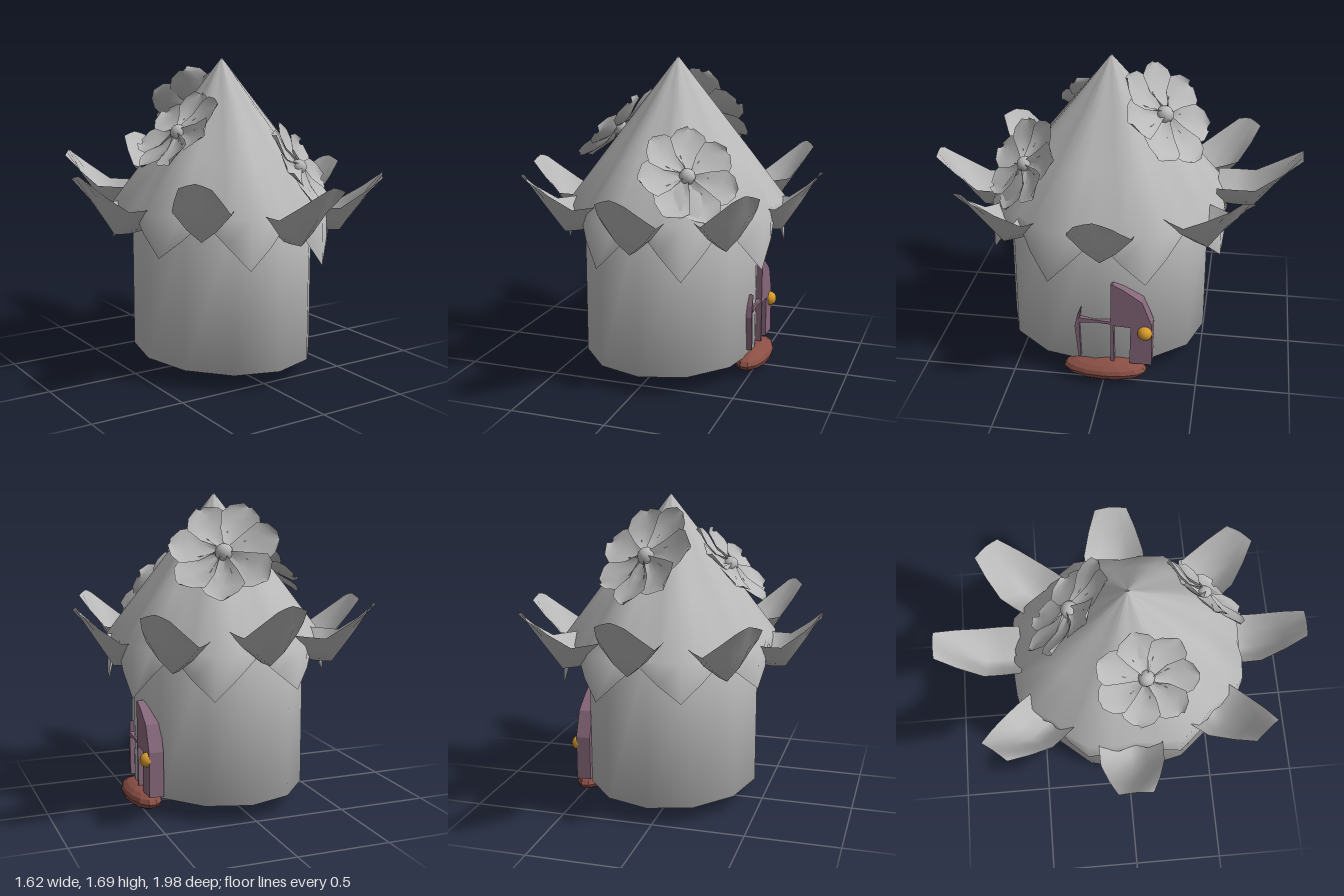
import * as THREE from 'three';
import { mergeVertices } from 'three/addons/utils/BufferGeometryUtils.js';

const mat = (name, color, extra = {}) => {
  const m = new THREE.MeshStandardMaterial({ color, ...extra });
  m.name = name;
  return m;
};

// Weld all corners so that the whole surface shades smoothly
function smooth(g) {
  g.deleteAttribute('uv');
  g.deleteAttribute('normal');
  g = mergeVertices(g, 1e-5);
  g.computeVertexNormals();
  return g;
}

// Smooth surface patch from a rule: rows run outward, columns run sideways
function patch(rows, cols, rule) {
  const pos = [], idx = [];
  for (let i = 0; i <= rows; i++) for (let j = 0; j <= cols; j++) pos.push(...rule(i, j));
  for (let i = 0; i < rows; i++) for (let j = 0; j < cols; j++) {
    const a = i * (cols + 1) + j, c = a + cols + 1;
    idx.push(a, c, a + 1, a + 1, c, c + 1);
  }
  const g = new THREE.BufferGeometry();
  g.setAttribute('position', new THREE.Float32BufferAttribute(pos, 3));
  g.setIndex(idx);
  return smooth(g);
}

export function createModel() {
  const model = new THREE.Group();
  const grey = mat('petal grey', 0xbababa, { side: THREE.DoubleSide });
  const plum = mat('door plum', 0x86677a);
  const brown = mat('step brown', 0x8a4f45, { flatShading: true });
  const gold = mat('knob gold', 0xd89c2c);

  const add = (name, geometry, material, x = 0, y = 0, z = 0, parent = model) => {
    const m = new THREE.Mesh(geometry, material);
    m.name = name;
    m.position.set(x, y, z);
    parent.add(m);
    return m;
  };

  // Oval wall
  const wall = new THREE.CylinderGeometry(0.555, 0.555, 0.8, 12);
  wall.scale(0.848, 1, 1);
  add('wall', smooth(wall), grey, 0.025, 0.495, 0.05);

  // Pointed, folded roof with eight hanging hem points, lowest at the front right
  const roofRows = [[0.004, 1.69], [0.21, 1.44], [0.42, 1.185], [0.635, 0.92]];
  const roof = patch(4, 32, (i, j) => {
    const a = (j % 32) / 32 * Math.PI * 2;
    const wave = Math.abs((j % 4) - 2) / 2;       // 1 in the valley, 0 at a point
    const tip = 0.675 - 0.045 * Math.cos(a - 0.9);
    const [r, y] = i < 4 ? roofRows[i] : [0.665 - 0.045 * wave, tip + (0.9 - tip) * wave];
    const fold = i > 0 && i < 4 ? 1 + 0.045 * (1 - 2 * wave) : 1;
    return [Math.sin(a) * r * fold * 0.885, y, Math.cos(a) * r * fold];
  });
  add('roof', roof, grey, 0.04, 0, 0.025);

  // Ring of cupped leaves: radius, centre height, half width, edge rise
  const leafRows = [[0.55, 0.79, 0.165, 0.14], [0.65, 0.78, 0.17, 0.15], [0.75, 0.785, 0.168, 0.145],
    [0.88, 0.95, 0.132, 0.06], [0.99, 1.11, 0.09, -0.025]];
  const lifts = [0, 0, 0, 0.05, 0.1, 0.05, 0, 0.03];
  lifts.forEach((lift, k) => {
    const angle = k * Math.PI / 4;
    const g = patch(4, 4, (i, j) => {
      const [r, y, w, rise] = leafRows[i], u = j / 2 - 1;
      return [u * w, y + rise * Math.abs(u) ** 1.3, r];
    });
    g.rotateY(angle);
    g.scale(0.82, 1, 1);
    g.computeVertexNormals();
    add('leaf', g, grey, 0.005 + 0.035 * Math.abs(Math.cos(angle)), lift, 0);
  });

  // Seven-petalled flowers lying on the roof
  const petalRows = [[0.03, 0.015, 0.01], [0.11, 0.072, -0.005], [0.19, 0.108, 0.01],
    [0.24, 0.08, 0.022], [0.275, 0.02, 0.025]];
  const petal = patch(4, 4, (i, j) => {
    const [r, w, y] = petalRows[i], u = j / 2 - 1;
    return [u * w, y + 0.02 * u * u + 0.008 * u, r];
  });
  const flowers = [
    { at: [0.23, 1.125, 0.45], normal: [0.53, 0.54, 0.65], size: 0.95 },
    { at: [0.085, 1.385, -0.25], normal: [0.4, 0.6, -0.69], size: 1.07 },
    { at: [-0.265, 1.3, 0.095], normal: [-0.71, 0.7, 0], size: 0.97 },
  ];
  for (const { at, normal, size } of flowers) {
    const flower = new THREE.Group();
    flower.name = 'flower';
    for (let k = 0; k < 7; k++) {
      add('petal', petal, grey, 0, 0, 0, flower).rotation.y = k * Math.PI * 2 / 7;
    }
    add('flowerCentre', new THREE.SphereGeometry(0.045, 12, 8), grey, 0, 0.015, 0, flower);
    flower.position.set(...at);
    flower.scale.setScalar(size);
    flower.quaternion.setFromUnitVectors(new THREE.Vector3(0, 1, 0), new THREE.Vector3(...normal).normalize());
    model.add(flower);
  }

  // Door pieces, drawn in the side plane and extruded towards +x
  const slab = (name, points, x, depth) => {
    const shape = new THREE.Shape(points.map(([u, v]) => new THREE.Vector2(u, v)));
    const g = new THREE.ExtrudeGeometry(shape, { depth, bevelEnabled: false });
    g.rotateY(Math.PI / 2);
    add(name, g, plum, x);
  };
  slab('doorPanel', [[0.036, 0.12], [0.056, 0.12], [0.052, 0.345], [0.145, 0.34], [0.14, 0.115],
    [0.26, 0.115], [0.26, 0.36], [0.205, 0.5], [0.11, 0.565], [0.05, 0.595], [0.038, 0.59]], 0.43, 0.079);
  slab('doorBar', [[-0.14, 0.345], [-0.05, 0.355], [0.042, 0.348], [0.042, 0.365], [-0.05, 0.37], [-0.14, 0.375]], 0.45, 0.055);
  slab('doorEdge', [[-0.14, 0.13], [-0.126, 0.13], [-0.133, 0.34], [-0.122, 0.44], [-0.145, 0.38], [-0.158, 0.32]], 0.45, 0.052);

  // Knob and doorstep
  add('knob', new THREE.SphereGeometry(0.04, 16, 12), gold, 0.508, 0.315, -0.222);
  const step = new THREE.SphereGeometry(1, 14, 8);
  step.scale(0.095, 0.06, 0.23);
  add('doorstep', step, brown, 0.48, 0.062, -0.003);

  return model;
}
